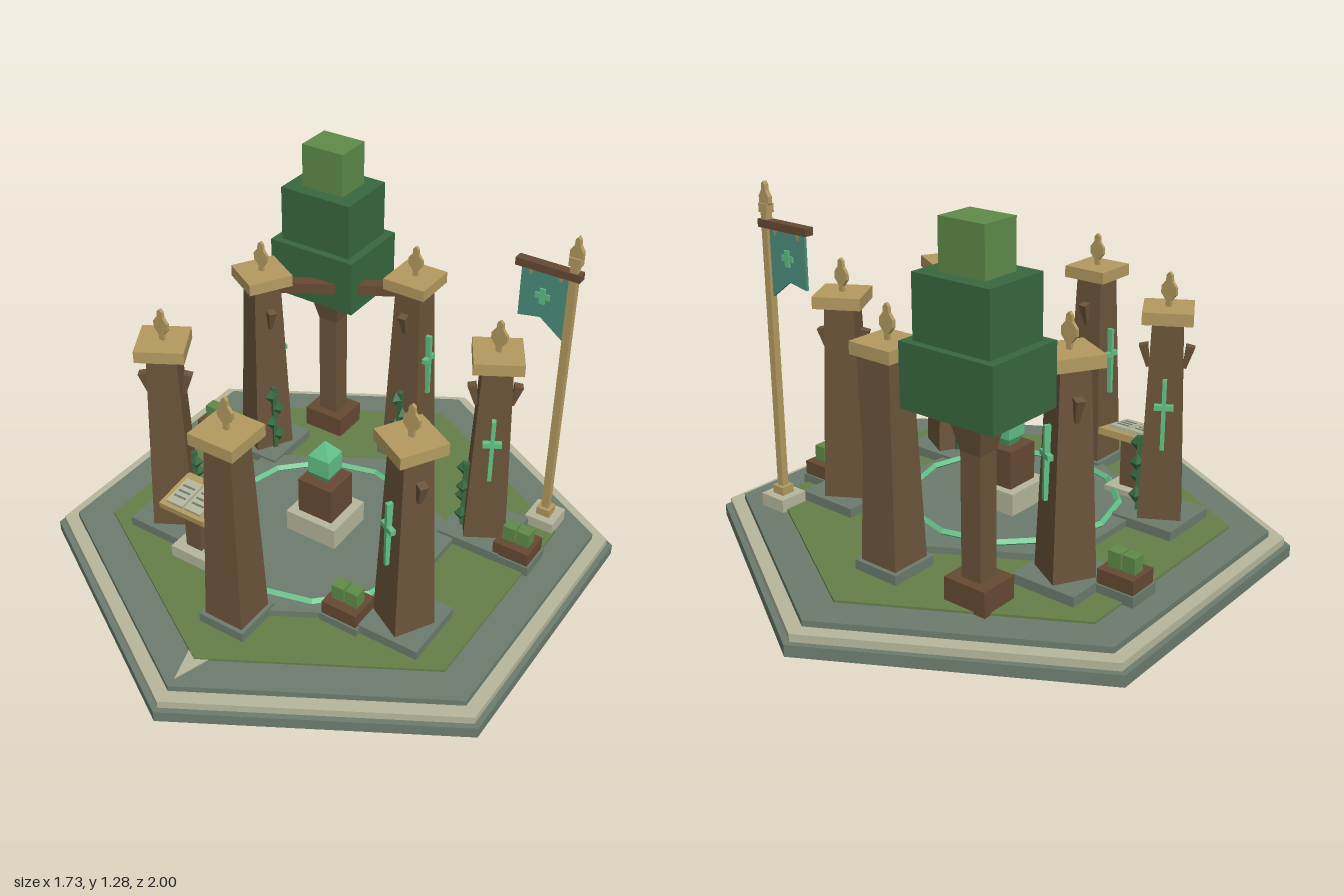
import * as THREE from 'three';

const mat = (name, color) => Object.assign(new THREE.MeshStandardMaterial({ color }), { name });
const M = {
  stone: mat('stone', 0x6c7c6d),
  cream: mat('paleStone', 0xb5b79c),
  grass: mat('grass', 0x657f49),
  gold: mat('sandGold', 0xb49a60),
  wood: mat('wood', 0x6b543a),
  dark: mat('darkWood', 0x664a33),
  leaf: mat('darkLeaf', 0x38683f),
  light: mat('lightLeaf', 0x5f8b49),
  glow: mat('glowGreen', 0x62bf86),
  teal: mat('tealCloth', 0x4d8f7f),
};

function add(parent, name, geo, material, x = 0, y = 0, z = 0) {
  const m = new THREE.Mesh(geo, material);
  m.name = name;
  m.position.set(x, y, z);
  parent.add(m);
  return m;
}

function facet(geo) {
  const g = geo.index ? geo.toNonIndexed() : geo;
  g.computeVertexNormals();
  return g;
}

// box given by its centre in plan and its bottom and top heights
const box = (p, name, m, x, z, w, d, y0, y1) =>
  add(p, name, new THREE.BoxGeometry(w, y1 - y0, d), m, x, (y0 + y1) / 2, z);

// square tapered block: half widths at top and bottom
function taper(p, name, m, x, z, top, bottom, y0, y1) {
  const g = new THREE.CylinderGeometry(top * Math.SQRT2, bottom * Math.SQRT2, y1 - y0, 4);
  return add(p, name, facet(g.rotateY(Math.PI / 4)), m, x, (y0 + y1) / 2, z);
}

const hex = (p, name, m, r, y0, y1, z = 0) =>
  add(p, name, facet(new THREE.CylinderGeometry(r, r, y1 - y0, 6)), m, 0, (y0 + y1) / 2, z);

function plate(points, depth) {
  const s = new THREE.Shape(points.map(([x, y]) => new THREE.Vector2(x, y)));
  return new THREE.ExtrudeGeometry(s, { depth, bevelEnabled: false }).translate(0, 0, -depth / 2);
}

// flat flame-shaped finial, standing on y = 0
const half = [[0.009, 0], [0.009, 0.022], [0.028, 0.045], [0.028, 0.068], [0.012, 0.088], [0.01, 0.108]];
const flame = plate([...half, [0, 0.118], ...half.slice().reverse().map(([x, y]) => [-x, y])], 0.012);

function createPillar(root, angle) {
  const x = Math.sin(angle) * 0.545, z = 0.02 + Math.cos(angle) * 0.545;
  const side = Math.abs(x) > 0.1;
  const outer = new THREE.Group();
  outer.name = 'pillar';
  outer.position.set(x, 0, z);
  root.add(outer);
  const plinth = side ? 0.236 : 0.175;
  box(outer, 'plinth', M.stone, 0, 0, plinth, plinth, 0.085, 0.13);
  add(outer, 'finial', flame, M.gold, 0, 0.858, 0);

  const p = new THREE.Group();
  p.name = 'pillarBody';
  p.rotation.y = angle;
  outer.add(p);
  taper(p, 'shaft', M.wood, 0, 0, 0.05, 0.073, 0.13, 0.82);
  box(p, 'cap', M.gold, 0, 0, 0.165, 0.165, 0.818, 0.86);
  // glowing cross on one flank
  box(p, 'crossUpright', M.glow, -0.066, 0, 0.024, 0.014, 0.385, 0.63);
  box(p, 'crossArm', M.glow, -0.066, 0, 0.024, 0.064, 0.525, 0.543);
  // bracket horns below the cap
  for (const s of side ? [-1, 1] : [-1]) {
    const horn = taper(p, 'horn', M.wood, 0, s * 0.068, 0.015, 0.006, 0.65, 0.73);
    horn.rotation.x = s * 0.22;
  }
  // vine climbing the inward face
  box(p, 'vineStem', M.leaf, 0, -0.073, 0.018, 0.022, 0.13, 0.4);
  for (let i = 0; i < 4; i++) {
    const leaf = add(p, 'vineLeaf', new THREE.OctahedronGeometry(0.025), M.leaf,
      (i % 2 ? 1 : -1) * 0.014, 0.19 + i * 0.06, -0.083);
    leaf.scale.y = 1.25;
  }
}

function createPlanter(root, x, z) {
  const p = new THREE.Group();
  p.name = 'planter';
  p.position.set(x, 0, z);
  root.add(p);
  box(p, 'planterBase', M.stone, 0, 0, 0.145, 0.125, 0.085, 0.125);
  box(p, 'planterBox', M.dark, 0, 0, 0.132, 0.112, 0.125, 0.175);
  for (const s of [-1, 1]) box(p, 'shrub', M.light, s * 0.026, 0, 0.046, 0.046, 0.175, 0.23);
}

function createTree(root) {
  const t = new THREE.Group();
  t.name = 'tree';
  t.position.set(-0.337, 0, -0.508);
  root.add(t);
  box(t, 'treeBox', M.dark, 0, 0, 0.16, 0.14, 0.085, 0.175);
  box(t, 'trunk', M.wood, 0, 0, 0.075, 0.075, 0.175, 0.73);
  taper(t, 'trunkFlare', M.wood, 0, 0, 0.068, 0.037, 0.585, 0.725);
  box(t, 'lowerFoliage', M.leaf, 0, 0, 0.345, 0.288, 0.72, 0.925);
  box(t, 'middleFoliage', M.leaf, 0, 0, 0.283, 0.235, 0.925, 1.127);
  box(t, 'upperFoliage', M.light, 0, 0, 0.168, 0.137, 1.127, 1.285);
}

function createLectern(root) {
  const l = new THREE.Group();
  l.name = 'lectern';
  l.position.set(-0.293, 0, 0.392);
  root.add(l);
  box(l, 'lecternBase', M.cream, 0, 0, 0.145, 0.13, 0.09, 0.14);
  box(l, 'lecternPost', M.wood, 0, 0, 0.065, 0.06, 0.14, 0.325);
  const desk = new THREE.Group();
  desk.name = 'desk';
  desk.position.y = 0.338;
  desk.rotation.x = 0.14;
  l.add(desk);
  box(desk, 'deskTop', M.gold, 0, 0, 0.188, 0.165, -0.014, 0.01);
  for (const s of [-1, 1]) {
    box(desk, 'page', M.cream, s * 0.038, 0.01, 0.068, 0.115, 0.01, 0.021);
    for (let i = 0; i < 3; i++)
      box(desk, 'pageLine', M.stone, s * 0.038, -0.015 + i * 0.025, 0.048, 0.007, 0.021, 0.023);
  }
}

function createBanner(root) {
  const b = new THREE.Group();
  b.name = 'bannerPole';
  b.position.set(0.628, 0, -0.428);
  root.add(b);
  box(b, 'poleBase', M.cream, 0, 0, 0.106, 0.106, 0.085, 0.135);
  box(b, 'poleFoot', M.gold, 0, 0, 0.05, 0.05, 0.135, 0.165);
  box(b, 'pole', M.gold, 0, 0, 0.026, 0.026, 0.165, 1.14);
  box(b, 'poleCollar', M.gold, 0, 0, 0.04, 0.03, 1.14, 1.17);
  add(b, 'poleFinial', flame, M.gold, 0, 1.125, 0).scale.set(0.8, 1, 1.4);
  box(b, 'crossbar', M.dark, -0.087, 0, 0.226, 0.034, 1.09, 1.117);
  // notched cloth with emblem on both faces
  add(b, 'cloth', plate([[-0.18, 1.092], [-0.18, 0.905], [-0.1, 0.92], [-0.016, 0.857], [-0.016, 1.092]], 0.01), M.teal);
  box(b, 'emblemUpright', M.glow, -0.098, 0, 0.02, 0.022, 0.972, 1.028);
  box(b, 'emblemArm', M.glow, -0.098, 0, 0.052, 0.02, 0.99, 1.01);
  for (const x of [-0.148, -0.042])
    taper(b, 'clothClip', M.gold, x, 0, 0.011, 0.004, 1.06, 1.11);
}

export function createModel() {
  const root = new THREE.Group();
  root.name = 'hexGarden';

  // stepped hexagonal terrace
  hex(root, 'lowerStep', M.stone, 1, 0, 0.04);
  hex(root, 'paleStep', M.cream, 0.978, 0.04, 0.067);
  hex(root, 'upperStep', M.stone, 0.925, 0.067, 0.088);
  hex(root, 'lawn', M.grass, 0.793, 0.088, 0.096);
  hex(root, 'innerCourt', M.stone, 0.48, 0.088, 0.12, 0.08);
  const arrow = plate([[-0.1, -0.58], [0, -0.89], [0.1, -0.58]], 0.004).rotateX(-Math.PI / 2);
  add(root, 'entryMarker', arrow, M.cream, 0, 0.09, 0);

  // glowing ring set in the court
  const ring = new THREE.TorusGeometry(0.372, 0.013, 4, 12).rotateX(Math.PI / 2);
  add(root, 'glowRing', facet(ring), M.glow, 0, 0.127, 0.08);

  // pedestal and crystal
  const c = new THREE.Group();
  c.name = 'crystalPedestal';
  c.position.z = 0.047;
  root.add(c);
  box(c, 'pedestalBase', M.cream, 0, 0, 0.2, 0.19, 0.12, 0.2);
  box(c, 'pedestalBlock', M.dark, 0, 0, 0.136, 0.132, 0.2, 0.337);
  taper(c, 'crystalFoot', M.glow, 0, 0, 0.042, 0.026, 0.337, 0.366);
  taper(c, 'crystalBody', M.glow, 0, 0, 0.042, 0.042, 0.366, 0.435);
  taper(c, 'crystalTip', M.glow, 0, 0, 0.0001, 0.042, 0.435, 0.49);

  for (let i = 0; i < 6; i++) createPillar(root, (i * Math.PI) / 3);

  // beam joining the back pillar to the back right pillar
  const beam = box(root, 'beam', M.dark, -0.236, -0.389, 0.5, 0.045, 0.783, 0.823);
  beam.rotation.y = Math.PI / 6;

  createPlanter(root, -0.653, -0.19);
  createPlanter(root, 0.632, -0.198);
  createPlanter(root, 0.305, 0.368);
  createTree(root);
  createLectern(root);
  createBanner(root);
  return root;
}
